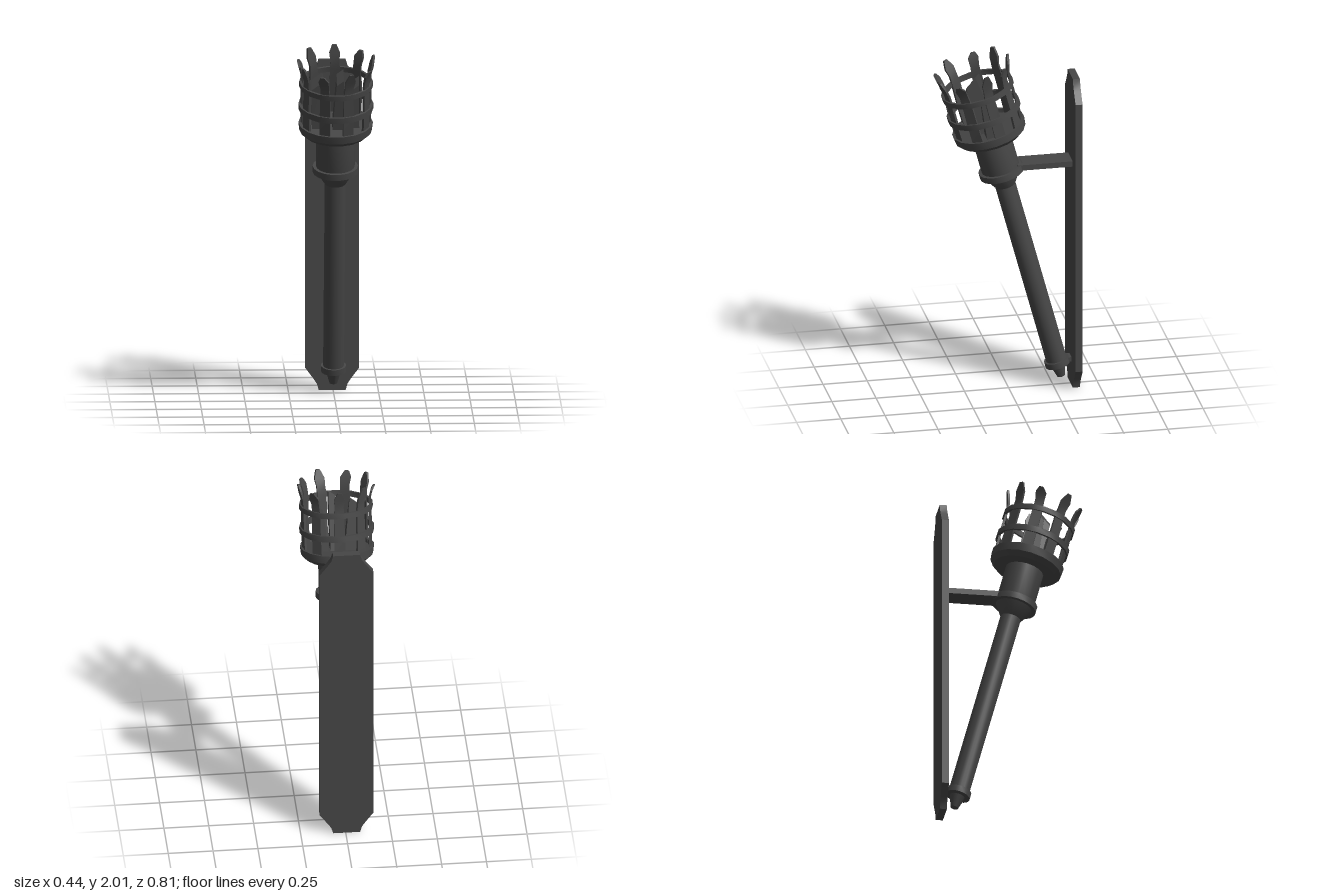
import * as THREE from 'three';
import { toCreasedNormals } from 'three/addons/utils/BufferGeometryUtils.js';

const SIDES = 18;
const STEP = (Math.PI * 2) / SIDES;
const iron = new THREE.MeshStandardMaterial({ color: 0x464646 });

function part(name, geometry, parent) {
  const mesh = new THREE.Mesh(toCreasedNormals(geometry, 0.5), iron);
  mesh.name = name;
  parent.add(mesh);
  return mesh;
}

// Turned part from [radius, height] pairs, with a flat side facing front
function turned(name, profile, parent) {
  const points = profile.map(([r, y]) => new THREE.Vector2(r, y));
  return part(name, new THREE.LatheGeometry(points, SIDES, STEP / 2), parent);
}

// Hoop or collar with a rectangular section
function hoop(name, inner, outer, y, height, parent) {
  const a = y - height / 2, b = y + height / 2;
  return turned(name, [[inner, a], [outer, a], [outer, b], [inner, b], [inner, a]], parent);
}

function box(name, w, h, d, x, y, z, parent) {
  const mesh = part(name, new THREE.BoxGeometry(w, h, d), parent);
  mesh.position.set(x, y, z);
  return mesh;
}

// Upright bar whose rows are [height, width, radius, sideways offset]
function barGeometry(rows, depth) {
  const n = rows.length - 1;
  const geo = new THREE.BoxGeometry(1, 1, depth, 1, n, 1);
  const pos = geo.attributes.position;
  for (let i = 0; i < pos.count; i++) {
    const [y, w, r, off] = rows[Math.round((pos.getY(i) + 0.5) * n)];
    pos.setXYZ(i, pos.getX(i) * w + off, y, pos.getZ(i) + r);
  }
  geo.computeVertexNormals();
  return geo;
}

// Wall plate with notched corners
function addBackplate(parent) {
  const H = 1.86;
  const corner = [[0.075, 0], [0.085, 0.035], [0.105, 0.065], [0.15, 0.125]];
  const right = [...corner, ...corner.map(([x, y]) => [x, H - y]).reverse()];
  const outline = [...right, ...right.map(([x, y]) => [-x, y]).reverse()];
  const shape = new THREE.Shape(outline.map(([x, y]) => new THREE.Vector2(x, y)));
  const geo = new THREE.ExtrudeGeometry(shape, { depth: 0.04, bevelEnabled: false });
  part('backplate', geo, parent).position.set(-0.005, 0, -0.39);
}

// Pointed slats of the cage, with slightly uneven, flared tips
function addSlats(parent) {
  const lean = [0.008, -0.01, 0.012, -0.006, 0.004, 0.01, -0.012, 0.006, -0.008];
  for (let i = 0; i < 9; i++) {
    const k = lean[i];
    const rows = [
      [1.55, 0.062, 0.185, 0],
      [1.7, 0.06, 0.19, 0],
      [1.83, 0.056, 0.188, 0],
      [1.88, 0.05, 0.19, k * 0.3],
      [1.925, 0.06, 0.202, k * 0.6],
      [1.965 + k, 0.024, 0.215, k],
    ];
    part('cageSlat', barGeometry(rows, 0.012), parent).rotation.y = (2 * i + 1) * STEP;
  }
}

// Split logs standing in the basket: [x, z, width, depth, top, lean x, lean z]
function addLogs(parent) {
  const logs = [
    [-0.085, 0.0, 0.095, 0.095, 1.84, -0.02, -0.01],
    [0.01, 0.01, 0.06, 0.11, 1.88, 0.012, 0.02],
    [0.09, -0.005, 0.08, 0.085, 1.82, 0.012, -0.01],
  ];
  for (const [x, z, w, d, top, lx, lz] of logs) {
    const geo = new THREE.BoxGeometry(w, 1, d);
    const pos = geo.attributes.position;
    for (let i = 0; i < pos.count; i++) {
      const px = pos.getX(i), pz = pos.getZ(i);
      if (pos.getY(i) < 0) pos.setXYZ(i, px + x, 1.57, pz + z);
      else pos.setXYZ(i, px * 0.65 + x + lx, top + px * 0.5 - pz * 0.4, pz * 0.6 + z + lz);
    }
    geo.computeVertexNormals();
    part('log', geo, parent);
  }
}

export function createModel() {
  const model = new THREE.Group();
  model.name = 'wallTorch';

  // Wall fixing
  addBackplate(model);
  box('upperBracket', 0.13, 0.032, 0.32, 0, 1.347, -0.2, model);
  box('lowerBracket', 0.06, 0.025, 0.06, 0, 0.155, -0.335, model);

  // Leaning torch, built upright from its tip
  const torch = new THREE.Group();
  torch.name = 'torch';
  torch.position.set(0, 0.05, -0.297);
  torch.rotation.x = THREE.MathUtils.degToRad(15);
  model.add(torch);

  turned('shaft', [
    [0, 0], [0.022, 0], [0.042, 0.07], [0.058, 0.08], [0.058, 1.22],
    [0.105, 1.295], [0.108, 1.31], [0.108, 1.54],
  ], torch);
  hoop('lowerCollar', 0.04, 0.07, 0.09, 0.035, torch);
  hoop('upperCollar', 0.09, 0.126, 1.31, 0.036, torch);

  // Fire basket
  turned('basketCup', [
    [0, 1.525], [0.175, 1.525], [0.202, 1.55], [0.207, 1.595],
    [0.19, 1.595], [0.185, 1.575], [0, 1.575],
  ], torch);
  hoop('lowerBand', 0.193, 0.208, 1.695, 0.034, torch);
  hoop('upperBand', 0.191, 0.205, 1.83, 0.03, torch);
  addSlats(torch);
  addLogs(torch);

  return model;
}
